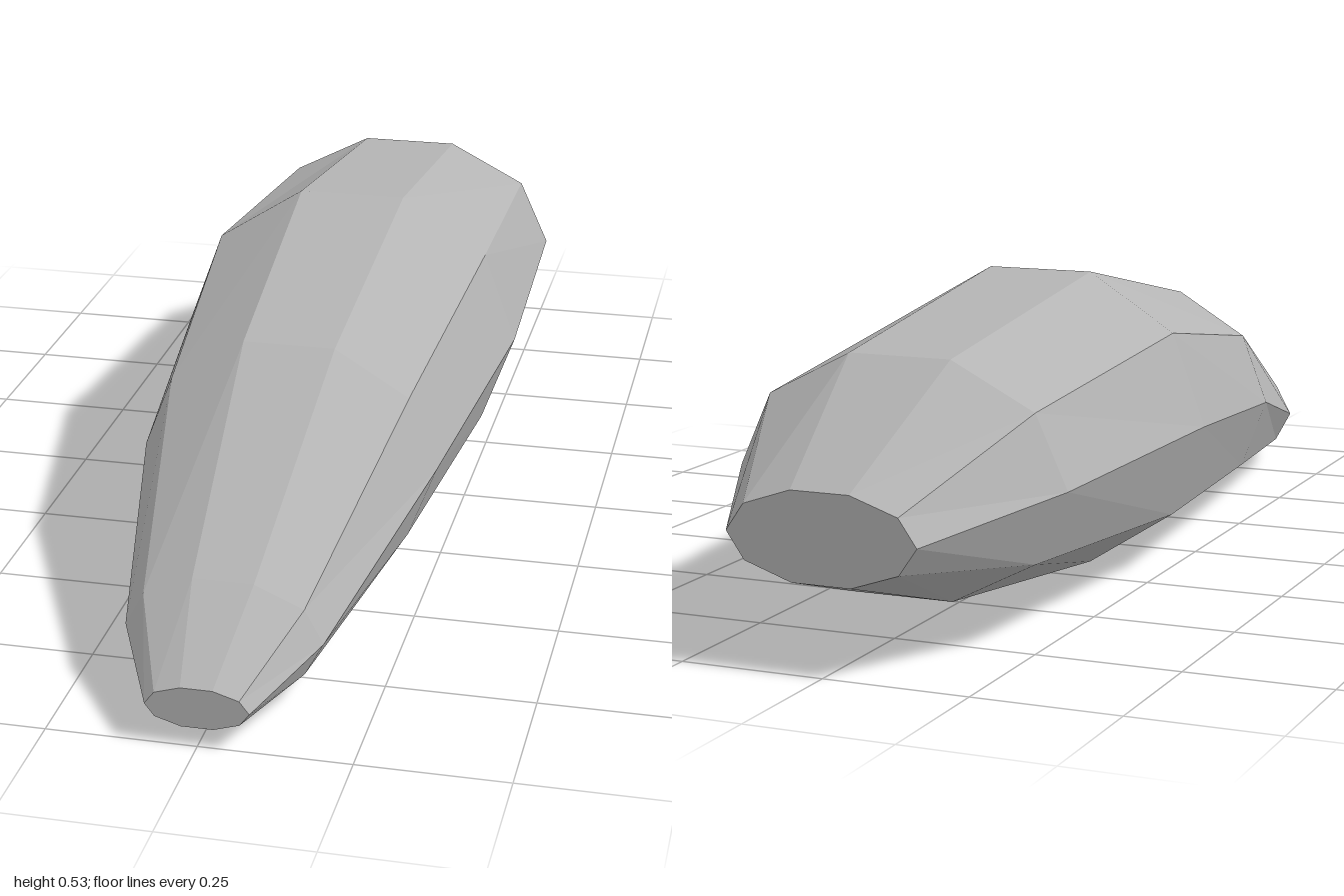
import * as THREE from 'three';

const SIDES = 10;

// Hull stations from front to back: z, centre height, half width, half height
const STATIONS = [
  [1.0, 0.067, 0.085, 0.036],
  [0.83, 0.11, 0.165, 0.099],
  [0.37, 0.22, 0.262, 0.221],
  [-0.145, 0.267, 0.317, 0.281],
  [-0.72, 0.263, 0.295, 0.21],
  [-1.0, 0.221, 0.165, 0.077],
];

// Ten-sided rings joined by quads and closed at both ends
function loft(stations) {
  const positions = [];
  const index = [];
  for (const [z, cy, rx, ry] of stations) {
    for (let j = 0; j < SIDES; j++) {
      const a = (j / SIDES) * Math.PI * 2;
      positions.push(rx * Math.cos(a), cy + ry * Math.sin(a), z);
    }
  }
  const last = (stations.length - 1) * SIDES;
  for (let i = 0; i < last; i += SIDES) {
    for (let j = 0; j < SIDES; j++) {
      const k = (j + 1) % SIDES;
      const a = i + j, b = i + k, c = a + SIDES, d = b + SIDES;
      index.push(a, c, b, b, c, d);
    }
  }
  for (let j = 1; j < SIDES - 1; j++) {
    index.push(0, j, j + 1); // nose cap
    index.push(last, last + j + 1, last + j); // tail cap
  }
  const geometry = new THREE.BufferGeometry();
  geometry.setAttribute('position', new THREE.Float32BufferAttribute(positions, 3));
  geometry.setIndex(index);
  const faceted = geometry.toNonIndexed();
  faceted.computeVertexNormals();
  return faceted;
}

export function createModel() {
  const group = new THREE.Group();
  group.name = 'facetedHull';
  const grey = new THREE.MeshStandardMaterial({ color: 0xb4b4b4, flatShading: true });
  grey.name = 'grey';

  const hull = new THREE.Mesh(loft(STATIONS), grey);
  hull.name = 'hull';
  group.add(hull);
  return group;
}
